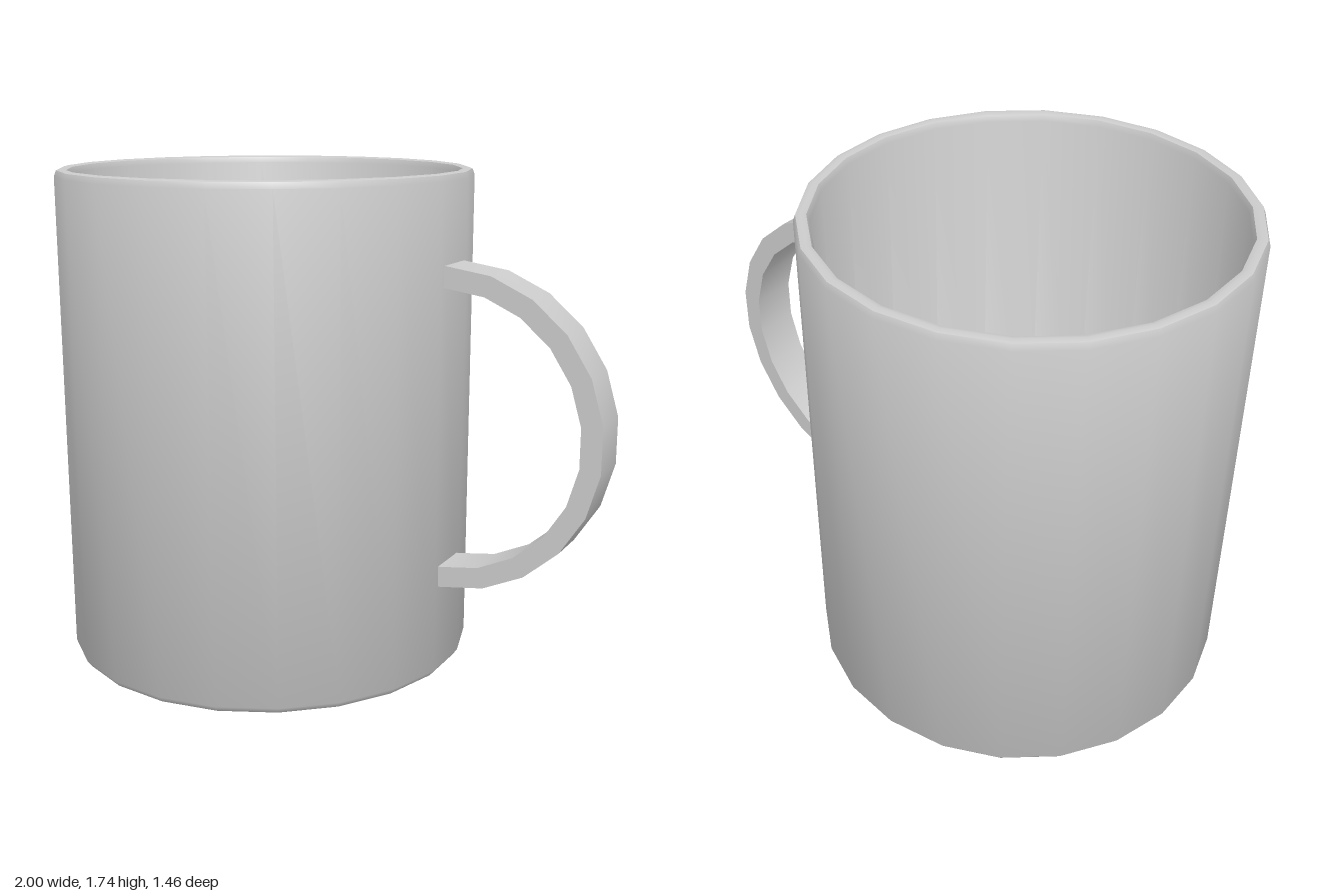
import * as THREE from 'three';
import { toCreasedNormals } from 'three/addons/utils/BufferGeometryUtils.js';

const SIDES = 22;
const CUP_X = -0.28;

export function createModel() {
  const model = new THREE.Group();
  model.name = 'mug';
  const material = new THREE.MeshStandardMaterial({ color: 0xcccccc });

  const add = (name, geometry, crease) => {
    const mesh = new THREE.Mesh(toCreasedNormals(geometry, crease), material);
    mesh.name = name;
    model.add(mesh);
    return mesh;
  };

  // Cup: one closed profile, from the recessed underside over the rim to the inner floor
  const profile = [
    [0, 0.05], [0.51, 0.05], [0.63, 0.03], [0.67, 0.005], [0.69, 0], [0.715, 0.004], [0.73, 0.025],
    [0.73, 1.715], [0.722, 1.735], [0.705, 1.74], [0.688, 1.735], [0.68, 1.715],
    [0.68, 0.13], [0.65, 0.1], [0.27, 0.09], [0.25, 0.075], [0, 0.075],
  ].map(([r, y]) => new THREE.Vector2(r, y));
  add('cup', new THREE.LatheGeometry(profile, SIDES), 0.8).position.x = CUP_X;

  // Handle: a flat half ring whose ends reach into the cup wall
  const centre = new THREE.Vector2(0.45, 0.887);
  const arc = (radius) => {
    const points = [new THREE.Vector2(0.42, centre.y - radius)];
    for (let i = 0; i <= SIDES / 2; i++) {
      const a = -Math.PI / 2 + (i * 2 * Math.PI) / SIDES;
      points.push(new THREE.Vector2(centre.x + radius * Math.cos(a), centre.y + radius * Math.sin(a)));
    }
    points.push(new THREE.Vector2(0.42, centre.y + radius));
    return points;
  };
  const outline = new THREE.Shape([...arc(0.556), ...arc(0.483).reverse()]);
  const handle = new THREE.ExtrudeGeometry(outline, { depth: 0.16, bevelEnabled: false });
  handle.translate(0, 0, -0.08);
  add('handle', handle, 0.6);

  return model;
}
